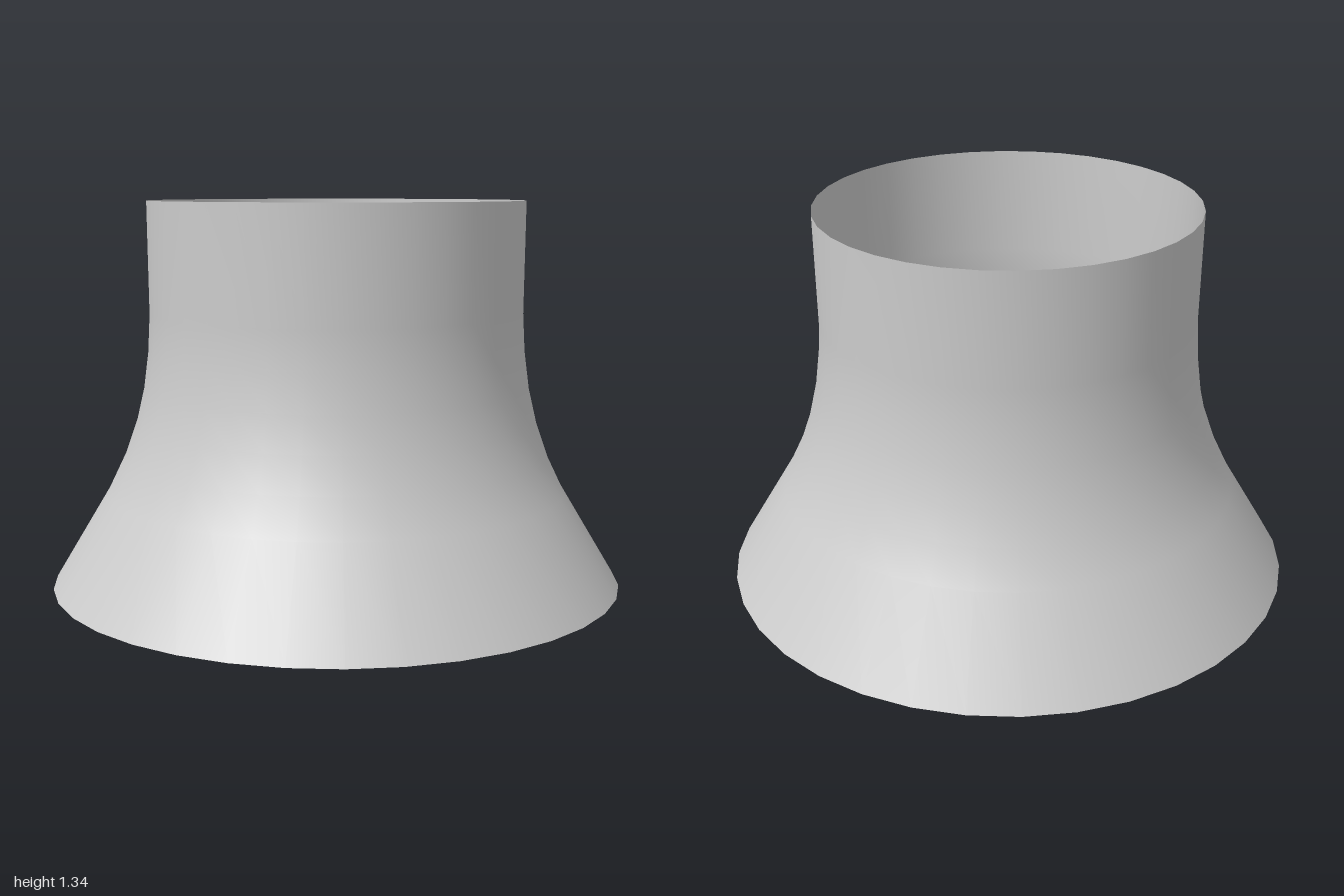
import * as THREE from 'three';

export function createModel() {
  const group = new THREE.Group();
  group.name = 'flaredCollar';

  // Wall profile as [radius, height]: straight cone, concave curve, then a near-straight neck
  const profile = [
    [1.0, 0], [0.805, 0.325], [0.745, 0.45], [0.703, 0.57], [0.675, 0.69],
    [0.658, 0.82], [0.651, 0.95], [0.655, 1.335],
  ].map(([r, y]) => new THREE.Vector2(r, y));

  // Thin open shell, without caps
  const material = new THREE.MeshStandardMaterial({ color: 0xcccccc, side: THREE.DoubleSide });
  const shell = new THREE.Mesh(new THREE.LatheGeometry(profile, 36), material);
  shell.name = 'flaredShell';
  group.add(shell);

  return group;
}
